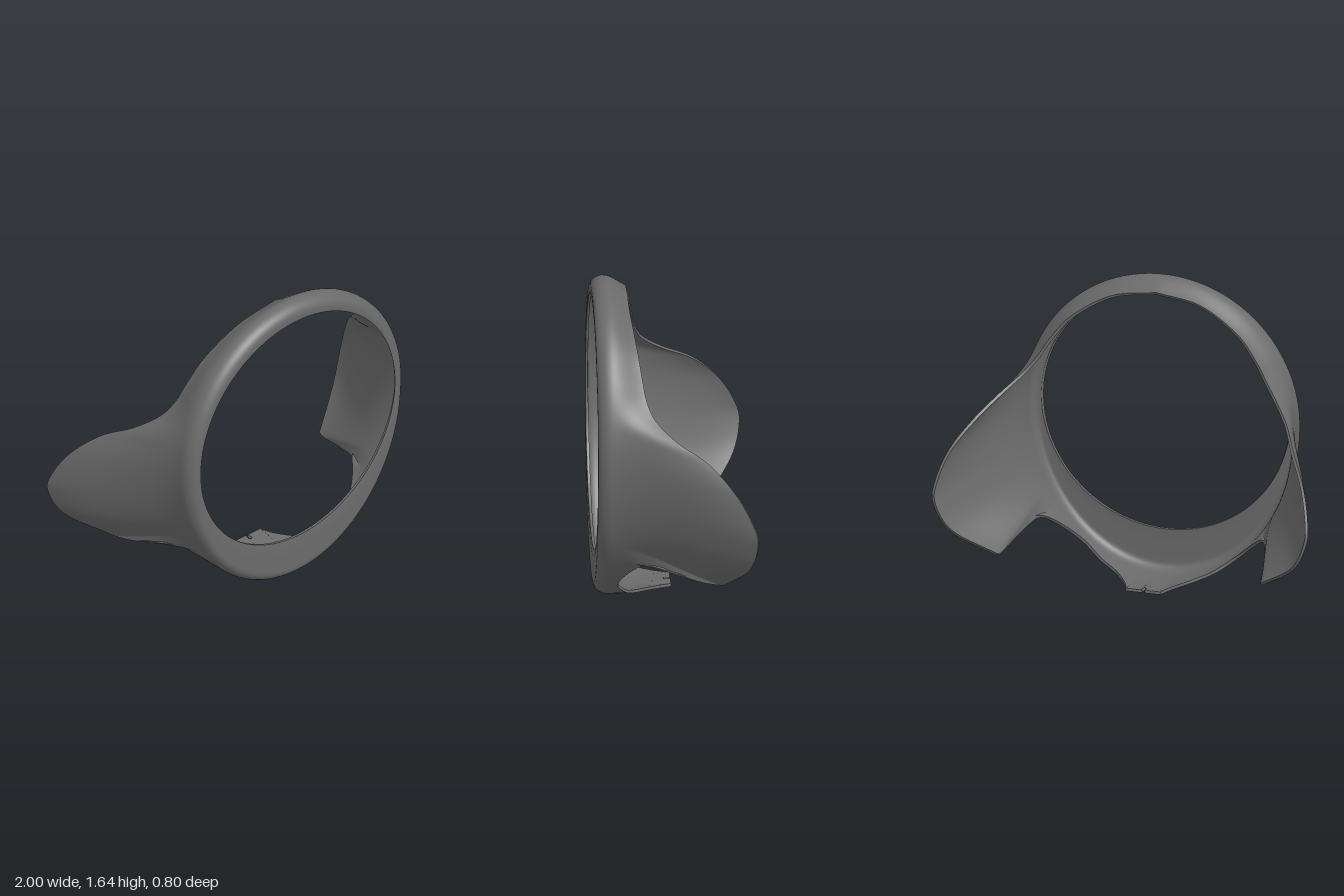
import * as THREE from 'three';

const CY = 0.9, HOLE = 0.653, WALL = 0.015, ROLL_Z = 0.33;

// Back edge from top to bottom on the +x side: ring angle in degrees, then x, y, z.
// Each run is smooth; runs meet at sharp corners.
const upperEdge = [
  [0, 0, 1.59, 0.22], [20, 0.236, 1.548, 0.215], [40, 0.44, 1.425, 0.19], [55, 0.55, 1.295, 0.168],
  [64, 0.61, 1.2, 0.148], [70, 0.675, 1.12, 0.105], [76, 0.765, 1.035, 0], [83, 0.848, 0.95, -0.15],
  [91, 0.94, 0.82, -0.28], [99, 0.99, 0.675, -0.365], [106, 0.993, 0.557, -0.396],
  [114, 0.91, 0.396, -0.357], [122, 0.71, 0.248, -0.235],
];
const lowerEdge = [
  [122, 0.71, 0.248, -0.235], [125, 0.69, 0.26, -0.126], [128, 0.655, 0.296, 0], [131, 0.6, 0.328, 0.13],
  [135, 0.53, 0.274, 0.22], [145, 0.415, 0.166, 0.287], [155, 0.307, 0.088, 0.25],
  [163, 0.208, 0.046, 0.2], [169, 0.13, 0.038, 0.09], [174, 0.092, 0.038, 0],
];
const tabEnd = [[174, 0.092, 0.038, 0], [177, 0.007, 0.038, 0]];
const tabSlot = [[177, 0.007, 0.038, 0], [179, 0.006, 0.037, 0.03], [180, 0, 0.037, 0.038]];

// One cross-section: hole lip, flat front, rolled corner, then a sweep to the back edge
function section(deg, edge) {
  const a = THREE.MathUtils.degToRad(deg), s = Math.sin(a), c = Math.cos(a);
  const hole = new THREE.Vector2(HOLE * s, CY + HOLE * c);
  const outer = new THREE.Vector2(0.727 * s, CY + (c > 0 ? 0.745 : 0.893) * c);
  const width = outer.distanceTo(hole), roll = Math.min(0.06, width * 0.8);
  const rows = [];
  const add = (r, z) => {
    const p = hole.clone().lerp(outer, r / width);
    rows.push(new THREE.Vector3(p.x, p.y, z));
  };
  add(0, 0.397);
  for (let k = 1; k <= 3; k++) add((width - roll) * k / 4, 0.4);
  for (let k = 0; k <= 8; k++) {
    const f = k / 8 * Math.PI / 2;
    add(width - roll + roll * Math.sin(f), ROLL_Z + (0.4 - ROLL_Z) * Math.cos(f));
  }
  const start = new THREE.Vector3(outer.x, outer.y, ROLL_Z), dz = (ROLL_Z - edge.z) / 3;
  const sweep = new THREE.CubicBezierCurve3(
    start,
    new THREE.Vector3(start.x, start.y, start.z - dz),
    new THREE.Vector3(edge.x + 0.28 * (start.x - edge.x), edge.y + 0.28 * (start.y - edge.y), edge.z + dz),
    edge);
  rows.push(...sweep.getPoints(24).slice(1));
  return rows;
}

function halfSections() {
  const columns = [];
  for (const run of [upperEdge, lowerEdge, tabEnd, tabSlot]) {
    const spline = (pts) => new THREE.CatmullRomCurve3(pts, false, 'catmullrom', 0.5);
    const edge = spline(run.map((k) => new THREE.Vector3(k[1], k[2], k[3])));
    const angle = spline(run.map((k) => new THREE.Vector3(k[0], 0, 0)));
    const n = (run.length - 1) * 8;
    for (let i = columns.length ? 1 : 0; i <= n; i++) {
      columns.push(section(angle.getPoint(i / n).x, edge.getPoint(i / n)));
    }
  }
  return columns;
}

// Closed band of columns, wrapped around the ring
function band(columns, flip) {
  const n = columns.length, m = columns[0].length, index = [];
  for (let i = 0; i < n; i++) {
    for (let j = 0; j < m - 1; j++) {
      const a = i * m + j, b = ((i + 1) % n) * m + j;
      if (flip) index.push(a, a + 1, b, b, a + 1, b + 1);
      else index.push(a, b, a + 1, b, b + 1, a + 1);
    }
  }
  const g = new THREE.BufferGeometry().setFromPoints(columns.flat());
  g.setIndex(index);
  g.computeVertexNormals();
  return g;
}

export function createModel() {
  const group = new THREE.Group();
  group.name = 'ringShroud';
  const grey = new THREE.MeshStandardMaterial({ color: 0x6b6b6b });
  grey.name = 'dark grey';
  const addPart = (name, geometry) => {
    const mesh = new THREE.Mesh(geometry, grey);
    mesh.name = name;
    group.add(mesh);
  };

  // Mirror the half to complete the ring
  const half = halfSections();
  const mirrored = half.slice(1, -1).reverse()
    .map((col) => col.map((p) => new THREE.Vector3(-p.x, p.y, p.z)));
  const outside = [...half, ...mirrored];
  const outerShell = band(outside, false);
  addPart('outerShell', outerShell);

  // Inner wall, offset along the outer normals
  const normals = outerShell.attributes.normal, m = outside[0].length;
  const inside = outside.map((col, i) => col.map((p, j) =>
    p.clone().addScaledVector(new THREE.Vector3().fromBufferAttribute(normals, i * m + j), -WALL)));
  addPart('innerShell', band(inside, true));

  // Thin rims closing the wall at the hole and along the back edge
  addPart('holeRim', band(outside.map((col, i) => [col[0], inside[i][0]]), true));
  addPart('backRim', band(outside.map((col, i) => [col[m - 1], inside[i][m - 1]]), false));
  return group;
}
